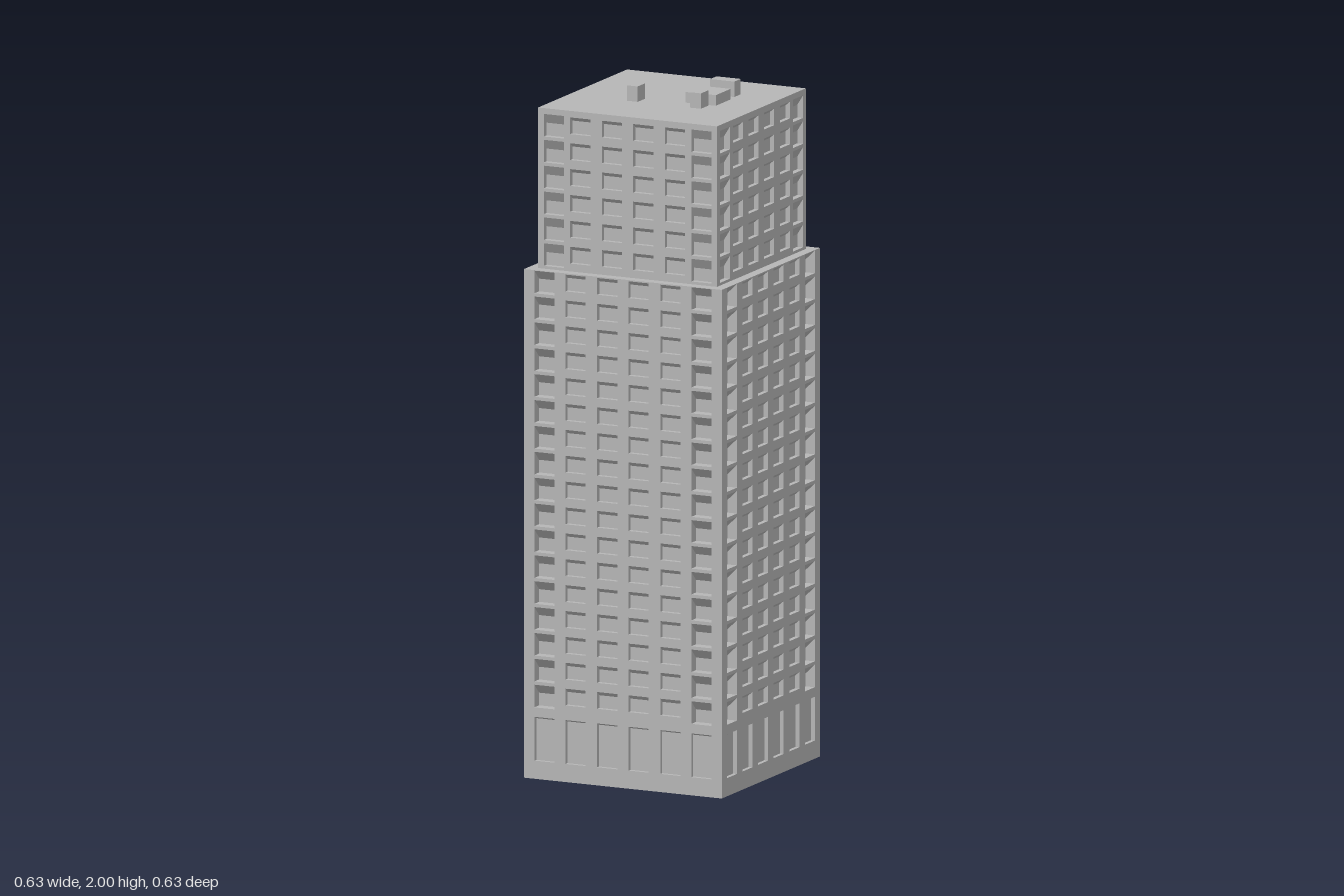
import * as THREE from 'three';

const concrete = new THREE.MeshStandardMaterial({ color: 0xb6b6b6 });
concrete.name = 'concrete';

const FLOOR = 0.0756;      // storey height
const TOP_HEAD = 1.936;    // window head of the highest storey
const INNER = [-0.151, -0.05, 0.05, 0.151];

function rectangle(Type, x0, y0, x1, y1) {
  const path = new Type();
  path.moveTo(x0, y0);
  path.lineTo(x1, y0);
  path.lineTo(x1, y1);
  path.lineTo(x0, y1);
  path.closePath();
  return path;
}

// Openings of one facade: standard windows and larger, deeper ones at the corners
function facadeOpenings(cornerX, cornerDepth, firstRow, lastRow, entrance) {
  const list = [];
  const add = (x, y0, y1, drop, depth) =>
    list.push({ x0: x - 0.032, x1: x + 0.032, y0, y1, drop, depth });
  for (let row = firstRow; row <= lastRow; row++) {
    const head = TOP_HEAD - row * FLOOR;
    for (const x of INNER) add(x, head - 0.049, head, 0.012, 0.014);
    for (const x of [-cornerX, cornerX]) add(x, head - 0.064, head + 0.002, 0.029, cornerDepth);
  }
  if (entrance) for (const x of [-cornerX, ...INNER, cornerX]) add(x, 0.053, 0.181, 0.006, 0.012);
  return list;
}

// Recesses with back pane, sill, jambs and a sloping head
function recessGeometry(openings) {
  const pos = [];
  const quad = (a, b, c, d) => pos.push(...a, ...b, ...c, ...a, ...c, ...d);
  for (const { x0, x1, y0, y1, drop, depth } of openings) {
    const z = -depth, yt = y1 - drop;
    quad([x0, y0, z], [x1, y0, z], [x1, yt, z], [x0, yt, z]);
    quad([x0, y0, 0], [x1, y0, 0], [x1, y0, z], [x0, y0, z]);
    quad([x0, yt, z], [x1, yt, z], [x1, y1, 0], [x0, y1, 0]);
    quad([x0, y0, 0], [x0, y0, z], [x0, yt, z], [x0, y1, 0]);
    quad([x1, y0, z], [x1, y0, 0], [x1, y1, 0], [x1, yt, z]);
  }
  const geometry = new THREE.BufferGeometry();
  geometry.setAttribute('position', new THREE.Float32BufferAttribute(pos, 3));
  geometry.computeVertexNormals();
  return geometry;
}

function mesh(name, geometry) {
  const m = new THREE.Mesh(geometry, concrete);
  m.name = name;
  return m;
}

function slab(name, half, y, faceUp) {
  const m = mesh(name, new THREE.PlaneGeometry(half * 2, half * 2));
  m.rotation.x = faceUp ? -Math.PI / 2 : Math.PI / 2;
  m.position.y = y;
  return m;
}

// Four matching facades around a square plan
function tier(name, half, bottom, top, openings) {
  const group = new THREE.Group();
  group.name = name;
  const shape = rectangle(THREE.Shape, -half, bottom, half, top);
  for (const o of openings) shape.holes.push(rectangle(THREE.Path, o.x0, o.y0, o.x1, o.y1));
  const wall = new THREE.ShapeGeometry(shape);
  const recesses = recessGeometry(openings);
  ['front', 'left', 'back', 'right'].forEach((side, i) => {
    const facade = new THREE.Group();
    facade.name = side + 'Facade';
    const wallMesh = mesh(side + 'Wall', wall);
    const windowMesh = mesh(side + 'Windows', recesses);
    wallMesh.position.z = windowMesh.position.z = half;
    facade.add(wallMesh, windowMesh);
    facade.rotation.y = i * Math.PI / 2;
    group.add(facade);
  });
  group.add(slab(name + 'Roof', half, top, true));
  return group;
}

export function createModel() {
  const model = new THREE.Group();
  model.name = 'towerBlock';

  // Main shaft and the narrower upper storeys
  const lower = tier('lowerTower', 0.315, 0, 1.486, facadeOpenings(0.25, 0.03, 6, 22, true));
  lower.add(slab('base', 0.315, 0, false));
  const upper = tier('upperTower', 0.285, 1.486, 1.955, facadeOpenings(0.235, 0.018, 0, 5, false));
  model.add(lower, upper);

  // Rooftop plant: x range, z range, top
  const plant = [
    ['rearVent', 0.077, 0.154, -0.131, -0.09, 2],
    ['plantRoom', 0.062, 0.159, -0.056, 0.039, 1.986],
    ['rightVent', -0.099, -0.064, 0.045, 0.091, 2],
    ['leftVent', 0.104, 0.139, 0.045, 0.094, 2],
  ];
  for (const [name, x0, x1, z0, z1, top] of plant) {
    const box = mesh(name, new THREE.BoxGeometry(x1 - x0, top - 1.955, z1 - z0));
    box.position.set((x0 + x1) / 2, (top + 1.955) / 2, (z0 + z1) / 2);
    model.add(box);
  }
  return model;
}
